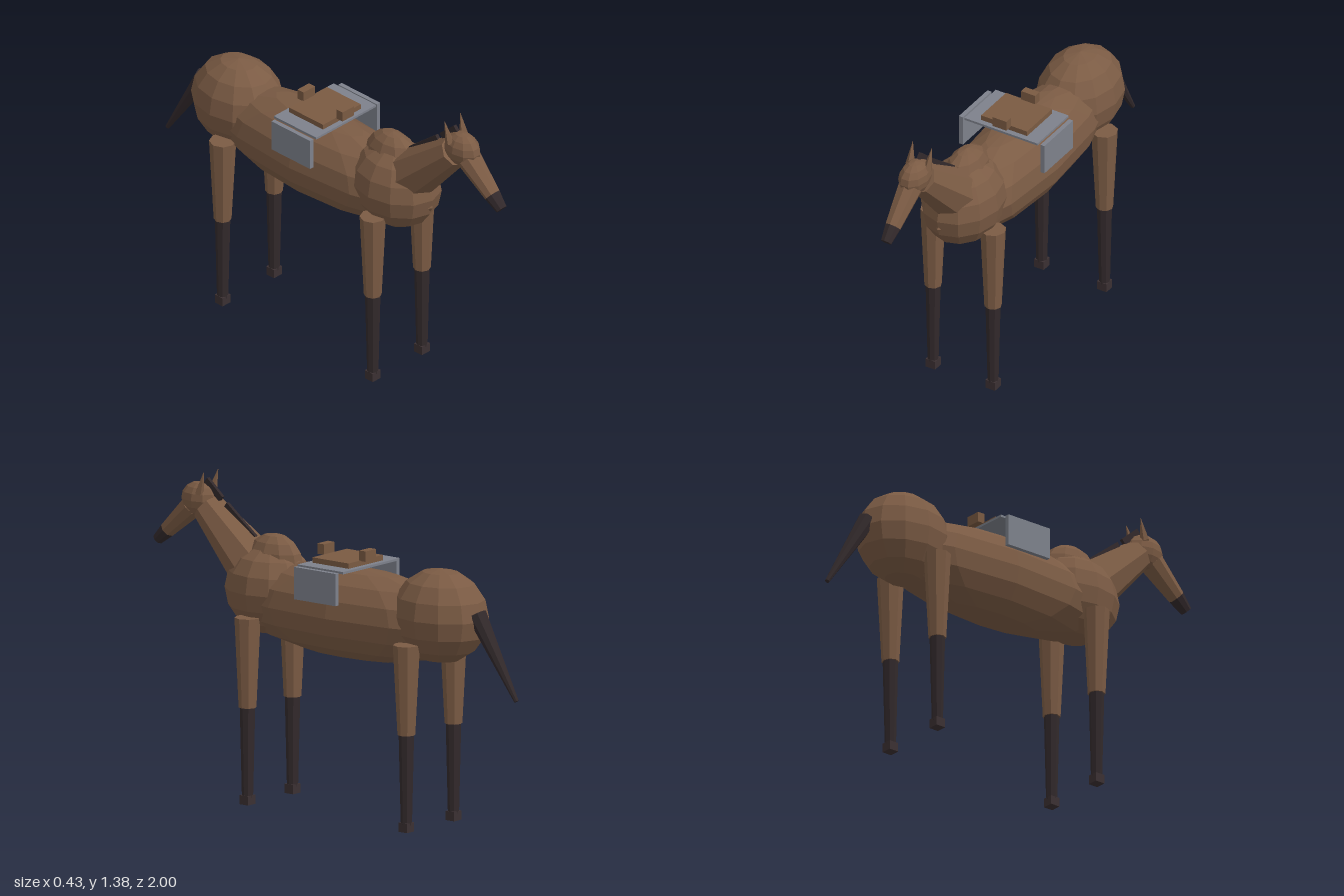
import * as THREE from 'three';

const mat = (name, color) => {
  const m = new THREE.MeshStandardMaterial({ color, flatShading: true });
  m.name = name;
  return m;
};

export function createModel() {
  const coat = mat('brown coat', 0x7b5b44);
  const dark = mat('dark hair', 0x32292b);
  const hoofMat = mat('hoof', 0x3b3032);
  const leather = mat('saddle leather', 0x7a5a42);
  const cloth = mat('grey panel', 0x7d818b);
  const model = new THREE.Group();

  const add = (name, geometry, material) => {
    const mesh = new THREE.Mesh(geometry, material);
    mesh.name = name;
    model.add(mesh);
    return mesh;
  };
  // Low-poly ellipsoid: centre and radii as [x, y, z]
  const blob = (name, c, r, w = 12, h = 8) => {
    const m = add(name, new THREE.SphereGeometry(1, w, h).scale(...r), coat);
    m.position.set(...c);
  };
  const box = (name, c, s, material) => {
    const m = add(name, new THREE.BoxGeometry(...s), material);
    m.position.set(...c);
    return m;
  };
  // Tapered tube from point a (radius ra) to point b (radius rb)
  const limb = (name, a, b, ra, rb, material, sides = 8) => {
    const A = new THREE.Vector3(...a), B = new THREE.Vector3(...b);
    const dir = B.clone().sub(A);
    const m = add(name, new THREE.CylinderGeometry(rb, ra, dir.length(), sides), material);
    m.position.copy(A).add(B).multiplyScalar(0.5);
    m.quaternion.setFromUnitVectors(new THREE.Vector3(0, 1, 0), dir.normalize());
    return m;
  };

  // Body
  blob('barrel', [0, 0.87, -0.09], [0.19, 0.2, 0.665]);
  blob('chest', [0, 0.91, 0.36], [0.172, 0.195, 0.215]);
  blob('rump', [0, 0.92, -0.57], [0.177, 0.205, 0.225]);
  blob('withers', [0, 1.03, 0.34], [0.085, 0.125, 0.14], 10, 8);

  // Neck and head
  limb('neck', [0, 1.0, 0.46], [0, 1.22, 0.71], 0.115, 0.07, coat);
  blob('head', [0, 1.247, 0.75], [0.063, 0.078, 0.093], 10, 8);
  limb('muzzle', [0, 1.215, 0.79], [0, 1.092, 0.928], 0.054, 0.036, coat);
  limb('nose', [0, 1.092, 0.928], [0, 1.043, 0.982], 0.036, 0.025, dark);

  // Mane strips follow the back of the neck and the poll
  const mane = (name, y, z, length, angle) => {
    box(name, [0, y, z], [0.016, 0.03, length], dark).rotation.x = angle;
  };
  mane('neckMane', 1.178, 0.53, 0.2, -0.67);
  mane('pollMane', 1.298, 0.675, 0.11, -0.72);

  // Tail
  limb('tail', [0, 0.95, -0.77], [0, 0.602, -0.988], 0.042, 0.01, dark);

  for (const s of [1, -1]) {
    const side = s > 0 ? 'left' : 'right';
    limb(side + 'Ear', [s * 0.043, 1.28, 0.72], [s * 0.048, 1.377, 0.692], 0.021, 0.001, coat, 5);

    // Legs: end, x, z, top radius
    for (const [end, x, z, r] of [['Front', 0.15, 0.367, 0.056], ['Rear', 0.157, -0.512, 0.058]]) {
      const n = side + end, px = s * x;
      limb(n + 'UpperLeg', [px, 0.42, z], [px, 0.81, z], 0.038, r, coat);
      limb(n + 'LowerLeg', [px, 0.03, z], [px, 0.42, z], 0.024, 0.033, dark);
      box(n + 'Hoof', [px, 0.02, z], [0.048, 0.04, 0.046], hoofMat);
    }
    // Hanging side panel
    box(side + 'SidePanel', [s * 0.204, 1.01, -0.055], [0.02, 0.14, 0.228], cloth);
  }

  // Saddle
  box('saddlePad', [0, 1.08, -0.06], [0.365, 0.01, 0.25], cloth);
  box('saddleSeat', [0, 1.096, -0.06], [0.23, 0.024, 0.2], leather);
  box('pommel', [0, 1.128, 0.06], [0.07, 0.045, 0.036], leather);
  box('cantle', [0, 1.128, -0.17], [0.07, 0.045, 0.036], leather);

  return model;
}
